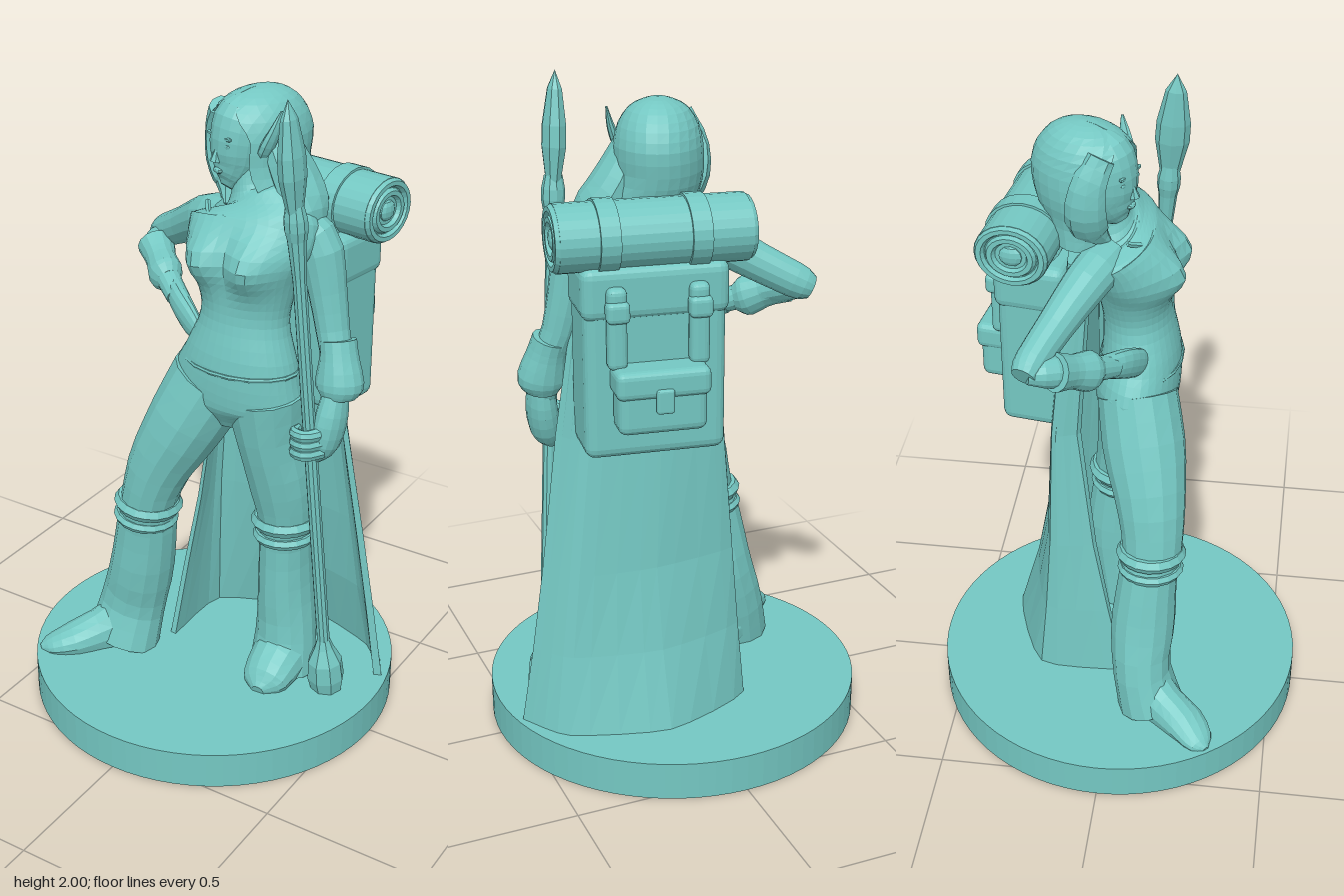
import * as THREE from 'three';
import { RoundedBoxGeometry } from 'three/addons/geometries/RoundedBoxGeometry.js';

const mat = new THREE.MeshStandardMaterial({ color: 0x74c7c2, flatShading: true });
const V = (x, y, z) => new THREE.Vector3(x, y, z);

function add(parent, name, geo, x = 0, y = 0, z = 0) {
  const m = new THREE.Mesh(geo, mat);
  m.name = name;
  m.position.set(x, y, z);
  parent.add(m);
  return m;
}

// Closed skin over equal-length loops of points; both ends are capped.
function skin(rings, centres) {
  const n = rings[0].length, last = rings.length - 1, pos = [], idx = [];
  rings.flat().forEach(p => pos.push(p.x, p.y, p.z));
  for (let i = 0; i < last; i++) for (let j = 0; j < n; j++) {
    const a = i * n + j, b = i * n + (j + 1) % n;
    idx.push(a, a + n, b, b, a + n, b + n);
  }
  const c = pos.length / 3;
  pos.push(...centres[0].toArray(), ...centres[1].toArray());
  for (let j = 0; j < n; j++) {
    const k = (j + 1) % n;
    idx.push(c, j, k, c + 1, last * n + k, last * n + j);
  }
  const g = new THREE.BufferGeometry();
  g.setAttribute('position', new THREE.Float32BufferAttribute(pos, 3));
  g.setIndex(idx);
  g.computeVertexNormals();
  return g;
}

// Pushes each vertex forward by a rule.
function pushZ(geo, rule) {
  const p = geo.attributes.position;
  for (let i = 0; i < p.count; i++) p.setZ(i, p.getZ(i) + rule(p.getX(i), p.getY(i), p.getZ(i)));
  geo.computeVertexNormals();
  return geo;
}

// Smoothly interpolates rows of numbers.
function smoothRows(rows, steps) {
  const a = new THREE.CatmullRomCurve3(rows.map(r => V(r[0], r[1], r[2])), false, 'centripetal');
  const b = new THREE.CatmullRomCurve3(rows.map((r, i) => V(r[3], r[4], i * 0.1)), false, 'centripetal');
  const out = [];
  for (let i = 0; i <= steps; i++) {
    const p = a.getPoint(i / steps), q = b.getPoint(i / steps);
    out.push({ p, w: q.x, d: q.y, t: a.getTangent(i / steps) });
  }
  return out;
}

// Rounded limb: rows are [x, y, z, half width, half depth], rings square to the path.
function limb(rows, { ref = V(0, 0, 1), sides = 14, steps = rows.length * 2 } = {}) {
  const s = smoothRows(rows, steps);
  const rings = s.map(({ p, w, d, t }) => {
    const W = t.clone().cross(ref).normalize(), D = W.clone().cross(t);
    return Array.from({ length: sides }, (_, j) => {
      const a = j / sides * Math.PI * 2;
      return p.clone().addScaledVector(W, w * Math.cos(a)).addScaledVector(D, d * Math.sin(a));
    });
  });
  return skin(rings, [s[0].p, s[steps].p]);
}

// Hair shell open to +z: rows go upwards, opening is the half angle left free.
function hairShell(rows, opening, thick, n = 18) {
  const s = smoothRows(rows, rows.length * 2);
  const rings = s.map(({ p, w, d }, i) => {
    const o = opening(i / (s.length - 1));
    const arc = (k, cut) => {
      const a = Math.PI / 2 + o + (2 * Math.PI - 2 * o) * k / n;
      return V(p.x + Math.max(w - cut, 0.002) * Math.cos(a), p.y, p.z + Math.max(d - cut, 0.002) * Math.sin(a));
    };
    const ring = [];
    for (let k = 0; k <= n; k++) ring.push(arc(k, 0));
    for (let k = n; k >= 0; k--) ring.push(arc(k, thick));
    return ring;
  });
  return skin(rings, [rings[0][n >> 1], rings[rings.length - 1][n >> 1]]);
}

// Cape: each row is a height and the [x, z] points of its section, right edge to left edge.
function cape(rows) {
  const rings = rows.map(([y, ...pts]) => {
    const outer = new THREE.CatmullRomCurve3(pts.map(([x, z]) => V(x, y, z)), false, 'catmullrom', 0.3).getPoints(16);
    return [...outer, ...outer.map(p => p.clone().lerp(V(0.17, y, 0.05), 0.06)).reverse()];
  });
  return skin(rings, [rings[0][8], rings[rings.length - 1][8]]);
}

function band(parent, name, x, y, z, r, tube, tilt = 0) {
  const m = add(parent, name, new THREE.TorusGeometry(r, tube, 6, 18).rotateX(Math.PI / 2), x, y, z);
  m.rotation.z = tilt;
  return m;
}

function buildBody(g) {
  // Torso with a softly modelled bust
  const bump = (x, y, cx) => Math.exp(-(((x - cx) / 0.068) ** 2) - ((y - 1.505) / 0.075) ** 2);
  add(g, 'torso', pushZ(limb([
    [0.11, 0.99, 0.04, 0.07, 0.08], [0.11, 1.07, 0.04, 0.21, 0.125], [0.125, 1.19, 0.05, 0.18, 0.12],
    [0.13, 1.32, 0.04, 0.135, 0.105], [0.13, 1.42, 0.03, 0.15, 0.11], [0.125, 1.51, 0.02, 0.185, 0.115],
    [0.125, 1.59, -0.02, 0.2, 0.11], [0.115, 1.64, -0.035, 0.14, 0.08], [0.1, 1.67, -0.04, 0.06, 0.06],
    [0.085, 1.75, -0.05, 0.05, 0.055]], { sides: 36, steps: 36 }),
  (x, y, z) => 0.06 * Math.max(bump(x, y, 0.035), bump(x, y, 0.205)) * THREE.MathUtils.smoothstep(z, 0, 0.07)));
  add(g, 'neckline', new THREE.TubeGeometry(new THREE.CatmullRomCurve3(
    [V(-0.01, 1.63, 0.02), V(0.04, 1.6, 0.08), V(0.11, 1.57, 0.103), V(0.19, 1.6, 0.08), V(0.26, 1.63, 0.02)]), 16, 0.008, 5));
  band(g, 'waistHem', 0.125, 1.18, 0.05, 0.178, 0.007).scale.z = 0.69;

  // Legs with knee bands and boots
  add(g, 'rightLeg', limb([
    [0.03, 1.1, 0.05, 0.13, 0.12], [-0.045, 0.95, 0.08, 0.12, 0.125], [-0.12, 0.8, 0.11, 0.1, 0.105],
    [-0.16, 0.67, 0.12, 0.086, 0.092], [-0.178, 0.57, 0.11, 0.095, 0.09], [-0.207, 0.4, 0.1, 0.102, 0.1],
    [-0.245, 0.25, 0.1, 0.108, 0.09], [-0.265, 0.12, 0.13, 0.12, 0.1]]));
  add(g, 'leftLeg', limb([
    [0.2, 1.1, 0.04, 0.13, 0.12], [0.215, 0.95, 0.02, 0.105, 0.115], [0.235, 0.8, 0.0, 0.102, 0.1],
    [0.245, 0.67, -0.02, 0.088, 0.09], [0.24, 0.57, -0.03, 0.08, 0.09], [0.24, 0.4, -0.04, 0.085, 0.1],
    [0.248, 0.25, -0.03, 0.095, 0.09], [0.25, 0.12, -0.01, 0.105, 0.1]]));
  for (const [y, r, tube] of [[0.652, 0.084, 0.023], [0.602, 0.084, 0.017]]) {
    band(g, 'rightKneeBand', -0.166 + (y - 0.65) * 0.2, y, 0.117, r, tube, -0.12);
    band(g, 'leftKneeBand', 0.243, y, -0.023, r, tube, 0.05);
  }
  const up = { ref: V(0, 1, 0) };
  add(g, 'rightFoot', limb([
    [-0.2, 0.13, 0.05, 0.04, 0.05], [-0.25, 0.17, 0.1, 0.08, 0.1], [-0.32, 0.15, 0.185, 0.066, 0.075],
    [-0.38, 0.135, 0.26, 0.064, 0.05], [-0.435, 0.12, 0.305, 0.045, 0.028], [-0.455, 0.115, 0.325, 0.01, 0.01]], up));
  add(g, 'leftFoot', limb([
    [0.245, 0.13, -0.11, 0.05, 0.05], [0.25, 0.17, -0.04, 0.09, 0.1], [0.255, 0.16, 0.05, 0.085, 0.08],
    [0.255, 0.13, 0.12, 0.07, 0.05], [0.257, 0.12, 0.155, 0.02, 0.02]], up));

  // Right arm bent with the hand on the hip
  add(g, 'rightUpperArm', limb([
    [0.03, 1.57, -0.03, 0.06, 0.06], [-0.05, 1.55, -0.07, 0.066, 0.066], [-0.2, 1.465, -0.155, 0.052, 0.056],
    [-0.31, 1.405, -0.21, 0.046, 0.05], [-0.34, 1.39, -0.22, 0.036, 0.036]], up));
  add(g, 'rightForearm', limb([
    [-0.325, 1.39, -0.215, 0.03, 0.03], [-0.3, 1.385, -0.16, 0.046, 0.046], [-0.22, 1.345, -0.07, 0.04, 0.04],
    [-0.13, 1.3, 0.0, 0.032, 0.032]], up));
  add(g, 'rightCuff', limb([
    [-0.3, 1.385, -0.14, 0.056, 0.056], [-0.255, 1.36, -0.1, 0.046, 0.05], [-0.21, 1.335, -0.06, 0.052, 0.06],
    [-0.185, 1.325, -0.04, 0.035, 0.04]], up));
  add(g, 'rightHand', limb([
    [-0.16, 1.315, -0.03, 0.03, 0.035], [-0.1, 1.29, 0.02, 0.03, 0.045], [-0.03, 1.25, 0.06, 0.022, 0.042],
    [0.01, 1.23, 0.08, 0.01, 0.015]], up));

  // Left arm lowered, holding the spear
  add(g, 'leftArm', limb([
    [0.24, 1.61, -0.05, 0.05, 0.05], [0.305, 1.55, -0.055, 0.066, 0.064], [0.34, 1.42, -0.055, 0.056, 0.058],
    [0.37, 1.29, -0.045, 0.048, 0.05], [0.4, 1.2, -0.025, 0.046, 0.048], [0.405, 1.08, 0.0, 0.036, 0.04]]));
  add(g, 'leftCuff', limb([
    [0.39, 1.275, -0.04, 0.052, 0.056], [0.4, 1.23, -0.03, 0.056, 0.058], [0.412, 1.15, -0.015, 0.072, 0.066],
    [0.413, 1.115, -0.01, 0.052, 0.055]]));
  add(g, 'leftHand', limb([
    [0.41, 1.13, 0.0, 0.036, 0.045], [0.405, 1.05, 0.015, 0.045, 0.062], [0.39, 0.97, 0.03, 0.042, 0.056],
    [0.37, 0.925, 0.045, 0.018, 0.025]]));
  // Fingers curled round the shaft
  for (let i = 0; i < 3; i++)
    add(g, 'finger', limb([
      [0.405, 0.965 + i * 0.03, 0.06, 0.018, 0.02], [0.37, 0.96 + i * 0.03, 0.1, 0.017, 0.019],
      [0.325, 0.955 + i * 0.03, 0.085, 0.016, 0.018], [0.32, 0.955 + i * 0.03, 0.05, 0.01, 0.012]], { ...up, sides: 8 }));
}

function buildHead(g) {
  const h = new THREE.Group();
  h.name = 'head';
  h.position.set(0.075, 1.79, -0.08);
  h.rotation.y = -0.4;
  g.add(h);
  add(h, 'face', limb([
    [0, -0.115, 0.085, 0.02, 0.022], [0, -0.095, 0.07, 0.046, 0.055], [0, -0.05, 0.05, 0.07, 0.075],
    [0, 0.02, 0.04, 0.083, 0.088], [0, 0.08, 0.02, 0.08, 0.088], [0, 0.13, -0.01, 0.03, 0.04]], { sides: 18 }));
  add(h, 'nose', new THREE.ConeGeometry(0.017, 0.05, 6).scale(1, 1, 0.8), 0, -0.008, 0.124).rotation.x = -0.2;
  add(h, 'lips', new THREE.SphereGeometry(0.02, 8, 6).scale(1, 0.45, 0.5), 0, -0.06, 0.117);
  for (const s of [-1, 1]) {
    add(h, 'eye', new THREE.SphereGeometry(0.014, 8, 6).scale(1, 0.6, 0.4), s * 0.034, 0.016, 0.113);
    add(h, 'brow', new THREE.CapsuleGeometry(0.006, 0.03, 2, 6).rotateZ(Math.PI / 2 + s * 0.15), s * 0.034, 0.036, 0.113);
  }
  add(h, 'leftEar', limb([
    [0.09, -0.02, 0.04, 0.014, 0.014], [0.115, 0.02, 0.035, 0.015, 0.026],
    [0.132, 0.07, 0.02, 0.011, 0.02], [0.142, 0.125, 0.005, 0.003, 0.004]], { sides: 8 }));
  // Hair shell parted over the forehead, then long locks
  add(h, 'hair', hairShell([
    [0.03, -0.19, -0.02, 0.14, 0.1], [0.02, -0.12, -0.025, 0.13, 0.135], [0, -0.05, -0.02, 0.126, 0.16],
    [0, 0.03, -0.025, 0.125, 0.165], [0, 0.09, -0.025, 0.11, 0.145], [0, 0.135, -0.03, 0.078, 0.1],
    [0, 0.155, -0.035, 0.035, 0.05], [0, 0.16, -0.035, 0.004, 0.004]],
  t => 0.9 * Math.min(1, Math.max(0.02, (0.8 - t) * 3)), 0.045));
  add(g, 'leftLock', limb([
    [0.13, 1.88, -0.08, 0.035, 0.05], [0.18, 1.78, -0.08, 0.045, 0.08], [0.225, 1.7, -0.08, 0.055, 0.09],
    [0.275, 1.64, -0.06, 0.045, 0.08], [0.31, 1.58, -0.05, 0.01, 0.03]], { sides: 10 }));
  add(g, 'rightLock', limb([
    [-0.01, 1.89, -0.05, 0.03, 0.04], [-0.042, 1.82, -0.08, 0.024, 0.05], [-0.035, 1.73, -0.09, 0.035, 0.06],
    [0.0, 1.66, -0.08, 0.036, 0.055], [0.02, 1.61, -0.03, 0.008, 0.01]], { sides: 9 }));
}

function buildPack(g) {
  const p = new THREE.Group();
  p.name = 'backpack';
  p.position.set(0.17, 0, -0.24);
  p.rotation.y = -0.14;
  g.add(p);
  const box = (name, w, h, d, x, y, z, r = 0.02) => add(p, name, new RoundedBoxGeometry(w, h, d, 2, r), x, y, z);
  box('packBody', 0.4, 0.54, 0.2, 0, 1.265, 0.01, 0.03);
  box('packLid', 0.415, 0.15, 0.215, 0, 1.47, 0.008, 0.03);
  box('packPocket', 0.25, 0.18, 0.1, 0, 1.18, -0.125, 0.025);
  box('pocketFlap', 0.265, 0.08, 0.11, 0, 1.235, -0.13, 0.02);
  box('pocketBuckle', 0.05, 0.07, 0.02, 0, 1.19, -0.185, 0.008);
  for (const s of [-1, 1]) {
    box('packStrap', 0.055, 0.23, 0.05, s * 0.115, 1.38, -0.105, 0.018);
    box('strapBuckle', 0.065, 0.06, 0.05, s * 0.115, 1.43, -0.118, 0.015);
  }
  // Bedroll with rolled ends and two tie bands
  const roll = new THREE.Group();
  roll.name = 'bedroll';
  roll.position.set(0, 1.615, -0.015);
  roll.scale.y = 0.87;
  p.add(roll);
  const rod = (r, l) => new THREE.CylinderGeometry(r, r, l, 24).rotateZ(Math.PI / 2);
  add(roll, 'rolledBlanket', rod(0.108, 0.53));
  for (const s of [-1, 1]) {
    for (const r of [0.092, 0.06])
      add(roll, 'rollEdge', new THREE.TorusGeometry(r, 0.015, 6, 24).rotateY(Math.PI / 2), s * 0.264);
    add(roll, 'rollCore', new THREE.SphereGeometry(0.035, 10, 6).scale(0.4, 1, 1), s * 0.265);
  }
  for (const x of [-0.12, 0.13]) add(roll, 'rollBand', rod(0.116, 0.055), x);
}

function buildSpear(g) {
  const s = new THREE.Group(), foot = V(0.42, 0.115, 0.01), dir = V(0.302, 2, 0.122).sub(foot);
  s.name = 'spear';
  s.position.copy(foot);
  s.quaternion.setFromUnitVectors(V(0, 1, 0), dir.clone().normalize());
  g.add(s);
  const lathe = (name, pts, sides) => add(s, name,
    new THREE.LatheGeometry(pts.map(p => new THREE.Vector2(...p)), sides));
  lathe('shaft', [[0, 0.1], [0.02, 0.1], [0.02, 1.5], [0, 1.5]], 10);
  lathe('spearButt', [[0, 0], [0.05, 0], [0.058, 0.04], [0.054, 0.1], [0.03, 0.15], [0.02, 0.18]], 8);
  lathe('socket', [[0.02, 1.38], [0.028, 1.5], [0.034, 1.53], [0.034, 1.56], [0.026, 1.6]], 10);
  lathe('blade', [[0.022, 1.54], [0.034, 1.6], [0.05, 1.68], [0.049, 1.74], [0.03, 1.84], [0, dir.length()]], 8).scale.x = 0.7;
}

export function createModel() {
  const g = new THREE.Group();
  g.name = 'adventurer';
  add(g, 'base', new THREE.CylinderGeometry(0.572, 0.572, 0.115, 72), 0, 0.0575, 0);
  buildBody(g);
  buildHead(g);
  add(g, 'cape', cape([
    [0.112, [-0.15, 0.03], [-0.14, -0.24], [0.15, -0.355], [0.44, -0.27], [0.54, -0.13]],
    [0.35, [-0.13, -0.02], [-0.125, -0.22], [0.15, -0.29], [0.41, -0.235], [0.5, -0.13]],
    [0.6, [-0.105, -0.07], [-0.11, -0.205], [0.15, -0.245], [0.38, -0.215], [0.46, -0.12]],
    [1.0, [-0.07, -0.12], [-0.08, -0.195], [0.12, -0.212], [0.33, -0.185], [0.4, -0.09]],
    [1.58, [-0.05, -0.08], [-0.05, -0.14], [0.12, -0.15], [0.29, -0.14], [0.3, -0.07]]]));
  buildPack(g);
  buildSpear(g);
  return g;
}
